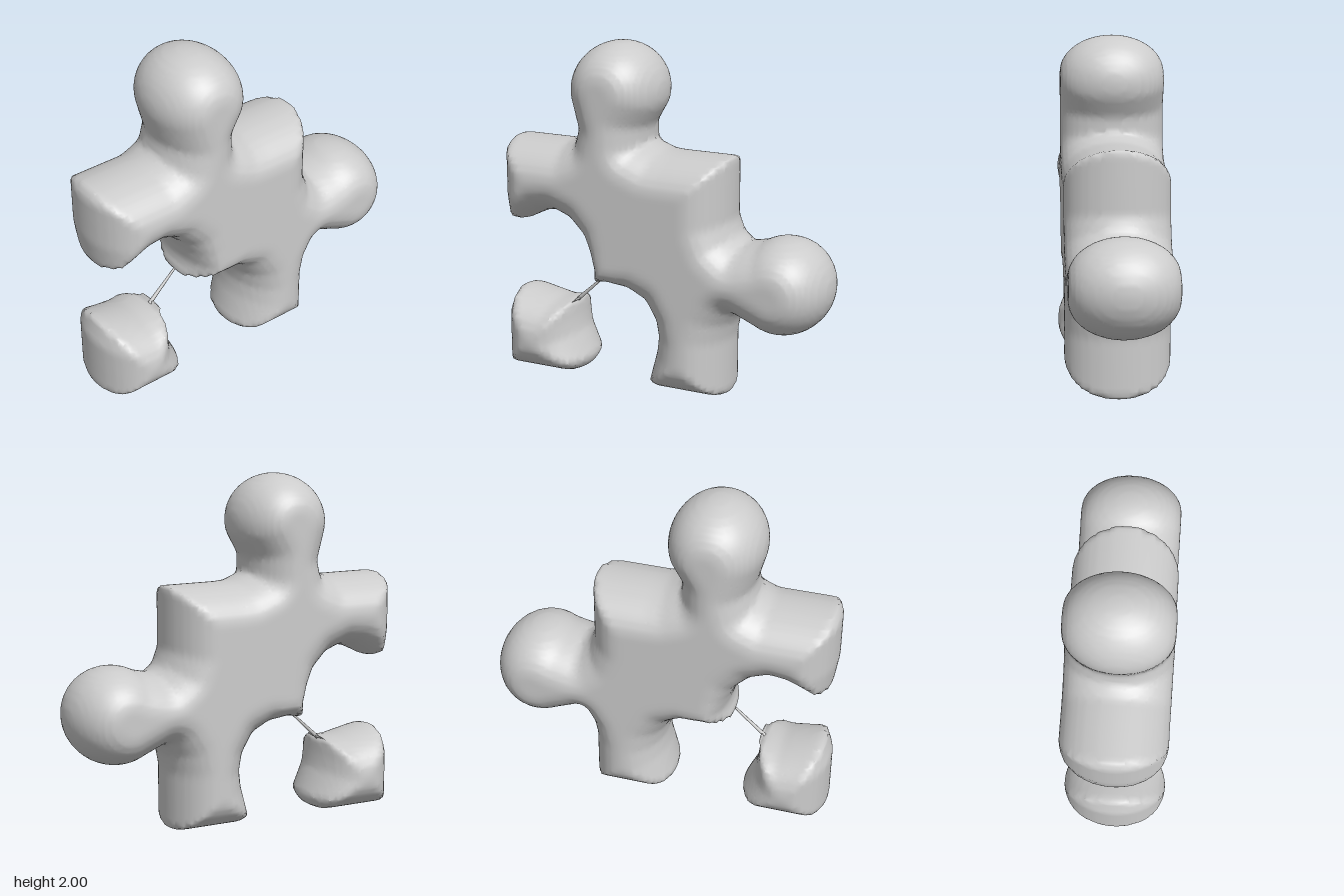
import * as THREE from 'three';

const HALF = 0.3;   // half thickness
const STEP = 0.025; // sampling cell

const v = (x, y) => new THREE.Vector2(x, y);
const pairs = (a) => a.map(([x, y]) => v(x, y));

// Clockwise arc for the round knobs (angles in degrees)
function arc(cx, cy, r, from, to, n = 20) {
  return Array.from({ length: n + 1 }, (_, i) => {
    const a = THREE.MathUtils.degToRad(from + (to - from) * i / n);
    return v(cx + r * Math.cos(a), cy + r * Math.sin(a));
  });
}

// Signed distance to a polygon, positive inside
function insideDistance(poly, x, y) {
  let best = Infinity, inside = false;
  for (let i = 0, j = poly.length - 1; i < poly.length; j = i++) {
    const a = poly[j], b = poly[i], ex = b.x - a.x, ey = b.y - a.y;
    const t = THREE.MathUtils.clamp(((x - a.x) * ex + (y - a.y) * ey) / (ex * ex + ey * ey), 0, 1);
    best = Math.min(best, Math.hypot(x - a.x - ex * t, y - a.y - ey * t));
    if ((a.y > y) !== (b.y > y) && x < a.x + (y - a.y) / ey * ex) inside = !inside;
  }
  return inside ? best : -best;
}

// Puffs an outline into a pillow with elliptical rims, meshed with surface nets
function inflate(poly) {
  const box = new THREE.Box2().setFromPoints(poly).expandByScalar(2.5 * STEP);
  const nx = Math.ceil((box.max.x - box.min.x) / STEP) + 1;
  const ny = Math.ceil((box.max.y - box.min.y) / STEP) + 1;
  const z0 = -HALF - 1.5 * STEP, nz = Math.ceil(-2 * z0 / STEP) + 1;
  const id = (i, j, k) => (k * ny + j) * nx + i;
  const field = new Float32Array(nx * ny * nz);
  for (let j = 0; j < ny; j++) for (let i = 0; i < nx; i++) {
    const x = box.min.x + i * STEP, y = box.min.y + j * STEP;
    const d = insideDistance(poly, x, y);
    // the rim is steeper around the two hollows
    const rim = 0.12 + 0.09 * THREE.MathUtils.smoothstep(Math.hypot(x + 0.45, y - 0.6), 0.15, 0.5);
    for (let k = 0; k < nz; k++) {
      field[id(i, j, k)] = 1 - Math.hypot(Math.max(0, 1 - d / rim), (z0 + k * STEP) / HALF);
    }
  }

  // one vertex per cell that the surface crosses
  const pos = [], index = [], cell = new Int32Array(nx * ny * nz).fill(-1);
  const corner = (c) => [c & 1, (c >> 1) & 1, c >> 2];
  for (let k = 0; k < nz - 1; k++) for (let j = 0; j < ny - 1; j++) for (let i = 0; i < nx - 1; i++) {
    const f = [];
    for (let c = 0; c < 8; c++) {
      const [a, b, e] = corner(c);
      f.push(field[id(i + a, j + b, k + e)]);
    }
    const sum = [0, 0, 0];
    let n = 0;
    for (let c = 0; c < 8; c++) for (const bit of [1, 2, 4]) {
      if (c & bit || (f[c] > 0) === (f[c | bit] > 0)) continue;
      const t = f[c] / (f[c] - f[c | bit]), p = corner(c), q = corner(c | bit);
      for (let m = 0; m < 3; m++) sum[m] += p[m] + (q[m] - p[m]) * t;
      n++;
    }
    if (!n) continue;
    cell[id(i, j, k)] = pos.length / 3;
    pos.push(box.min.x + (i + sum[0] / n) * STEP, box.min.y + (j + sum[1] / n) * STEP, z0 + (k + sum[2] / n) * STEP);
  }

  // one quad around each crossed grid edge
  const strides = [1, nx, nx * ny];
  for (let k = 1; k < nz - 1; k++) for (let j = 1; j < ny - 1; j++) for (let i = 1; i < nx - 1; i++) {
    const o = id(i, j, k);
    for (let m = 0; m < 3; m++) {
      const inA = field[o] > 0, inB = field[o + strides[m]] > 0;
      if (inA === inB) continue;
      const u = strides[(m + 1) % 3], w = strides[(m + 2) % 3];
      const q = [cell[o - u - w], cell[o - w], cell[o], cell[o - u]];
      if (!inA) q.reverse();
      index.push(q[0], q[1], q[2], q[0], q[2], q[3]);
    }
  }
  const geo = new THREE.BufferGeometry();
  geo.setAttribute('position', new THREE.Float32BufferAttribute(pos, 3));
  geo.setIndex(index);
  geo.computeVertexNormals();
  return geo;
}

export function createModel() {
  const group = new THREE.Group();
  group.name = 'puzzlePiece';
  const material = new THREE.MeshStandardMaterial({ color: 0xcccccc });
  const add = (name, geo) => {
    const mesh = new THREE.Mesh(geo, material);
    mesh.name = name;
    group.add(mesh);
    return mesh;
  };

  // Main piece: top edge and knob, side knob, lower arm, two hollows
  const body = [
    ...pairs([[-1, 1.35], [-0.97, 1.4], [-0.61, 1.4], [-0.54, 1.43], [-0.52, 1.51]]),
    ...arc(-0.3, 1.73, 0.27, 190, -18),
    ...pairs([[-0.11, 1.53], [-0.11, 1.44], [-0.02, 1.405], [0.05, 1.4], [0.4, 1.4],
      [0.4, 1.04], [0.43, 0.96], [0.48, 0.92]]),
    ...arc(0.722, 0.705, 0.275, 121, -121),
    ...pairs([[0.46, 0.52], [0.42, 0.45], [0.4, 0.35], [0.4, 0.02], [0.36, 0.005], [0, 0.005],
      [-0.06, 0.03], [-0.08, 0.06], [-0.03, 0.25], [-0.02, 0.34], [-0.035, 0.43], [-0.09, 0.53],
      [-0.18, 0.585], [-0.3, 0.605], [-0.4, 0.59], [-0.445, 0.565], [-0.41, 0.65], [-0.405, 0.7],
      [-0.43, 0.79], [-0.47, 0.87], [-0.56, 0.95], [-0.66, 0.985], [-0.74, 0.975],
      [-0.81, 0.945], [-0.9, 0.9], [-0.975, 0.91], [-1, 1.08]]),
  ];
  add('body', inflate(body));

  // Lower corner, nearly cut off by the hollows
  const foot = pairs([[-0.54, 0.475], [-0.59, 0.42], [-0.58, 0.33], [-0.565, 0.25], [-0.49, 0.09],
    [-0.52, 0.03], [-0.59, 0], [-0.96, 0], [-1, 0.04], [-1, 0.36], [-0.96, 0.48], [-0.88, 0.465],
    [-0.71, 0.425], [-0.61, 0.43]]);
  add('corner', inflate(foot));

  // Thin strand joining the corner to the body
  const a = new THREE.Vector3(-0.6, 0.425, 0), b = new THREE.Vector3(-0.4, 0.61, 0);
  const strand = add('strand', new THREE.CylinderGeometry(0.006, 0.012, a.distanceTo(b), 8));
  strand.position.lerpVectors(a, b, 0.5);
  strand.quaternion.setFromUnitVectors(new THREE.Vector3(0, 1, 0), b.clone().sub(a).normalize());

  return group;
}
